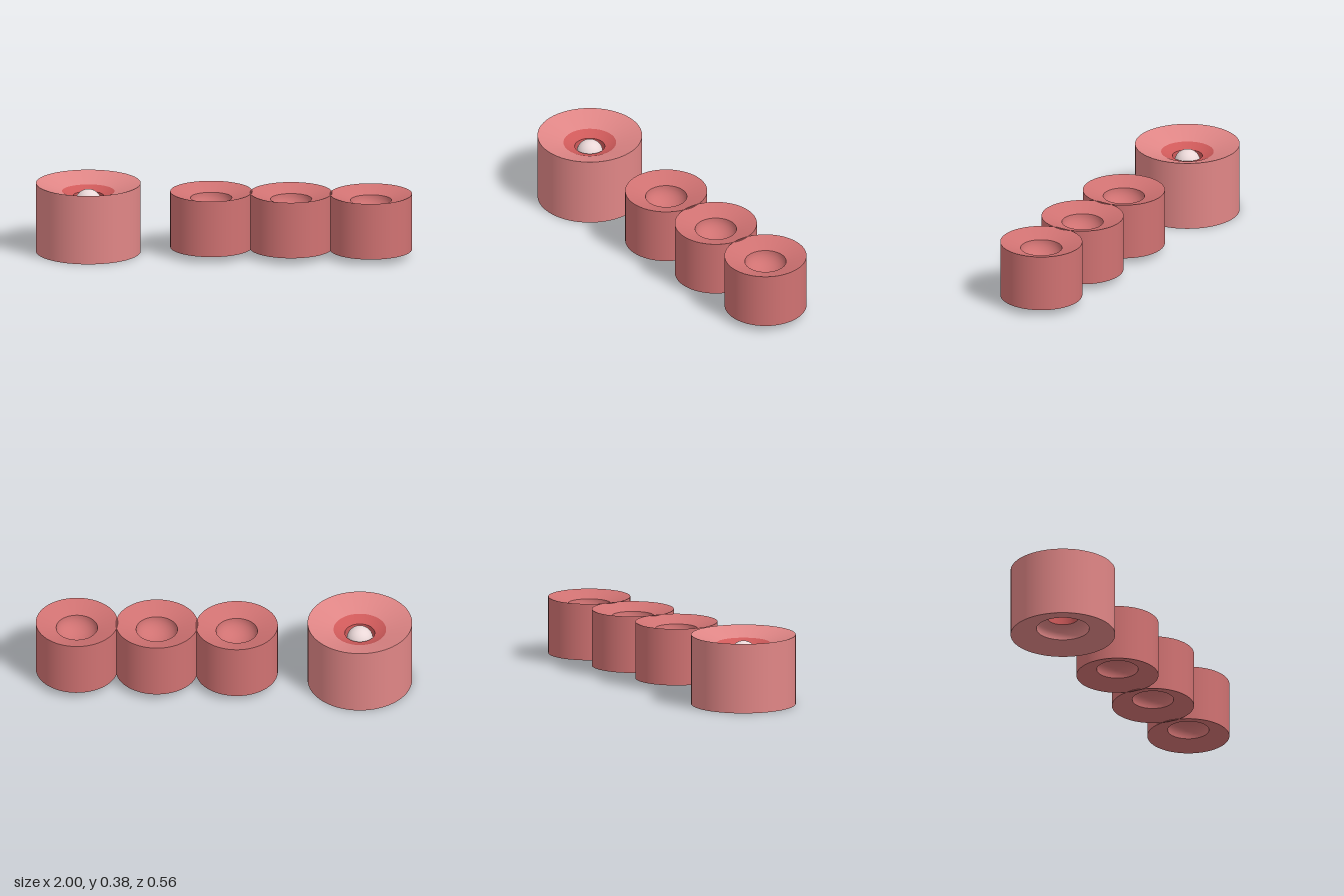
import * as THREE from 'three';

const mat = (color) => new THREE.MeshStandardMaterial({ color });

// One smooth surface of revolution; the profile runs counter-clockwise in (radius, height)
function turned(name, points, material) {
  const geo = new THREE.LatheGeometry(points.map(([r, y]) => new THREE.Vector2(r, y)), 72);
  const mesh = new THREE.Mesh(geo, material);
  mesh.name = name;
  return mesh;
}

// Rounded hollow: points from its lip (r0, y0) in to (r1, y1), steep first and then flattening
function hollow(r0, y0, r1, y1, steps = 10) {
  const pts = [];
  for (let i = 0; i <= steps; i++) {
    const a = (i / steps) * Math.PI / 2;
    pts.push([r1 + (r0 - r1) * Math.cos(a), y0 + (y1 - y0) * Math.sin(a)]);
  }
  return pts;
}

export function createModel() {
  const model = new THREE.Group();
  const pale = mat(0xe08686);
  const rose = mat(0xd07272);
  const red = mat(0xcf5a5a);
  const white = mat(0xead8d8);

  // Large drum with dished ends, a bored centre and a ball in the bore
  const large = new THREE.Group();
  large.name = 'largeDrum';
  const H = 0.375, R = 0.278;
  large.add(
    turned('largeWall', [[R, 0], [R, H]], pale),
    turned('largeTopDish', [[R, H], [0.14, H - 0.045]], pale),
    turned('largeBottomDish', [[0.14, 0.035], [R, 0]], pale),
    turned('largeBottomHollow', hollow(0.14, 0.035, 0.08, 0.096).reverse(), pale),
    turned('largeTopHollow', [[0.14, H - 0.045], [0.11, H - 0.06], [0.08, H - 0.068]], red),
    turned('boreWall', [[0.08, H - 0.068], [0.08, 0.096]], red)
  );
  const ball = new THREE.Mesh(new THREE.SphereGeometry(0.07, 40, 28), white);
  ball.name = 'ball';
  ball.position.y = 0.27;
  large.add(ball);
  large.position.x = -0.722;
  model.add(large);

  // Row of three small drums, each with a rounded hollow in both dished ends
  const h = 0.305, r = 0.218;
  [-0.068, 0.357, 0.782].forEach((x, i) => {
    const drum = new THREE.Group();
    drum.name = `smallDrum${i + 1}`;
    const top = hollow(0.11, h - 0.035, 0, h - 0.12);
    const bottom = top.map(([pr, py]) => [pr, h - py]).reverse();
    drum.add(
      turned('smallWall', [[r, 0], [r, h]], rose),
      turned('smallTopDish', [[r, h], [0.11, h - 0.035]], rose),
      turned('smallTopHollow', top, rose),
      turned('smallBottomDish', [[0.11, 0.035], [r, 0]], rose),
      turned('smallBottomHollow', bottom, rose)
    );
    drum.position.set(x, 0.035, 0);
    model.add(drum);
  });

  return model;
}
